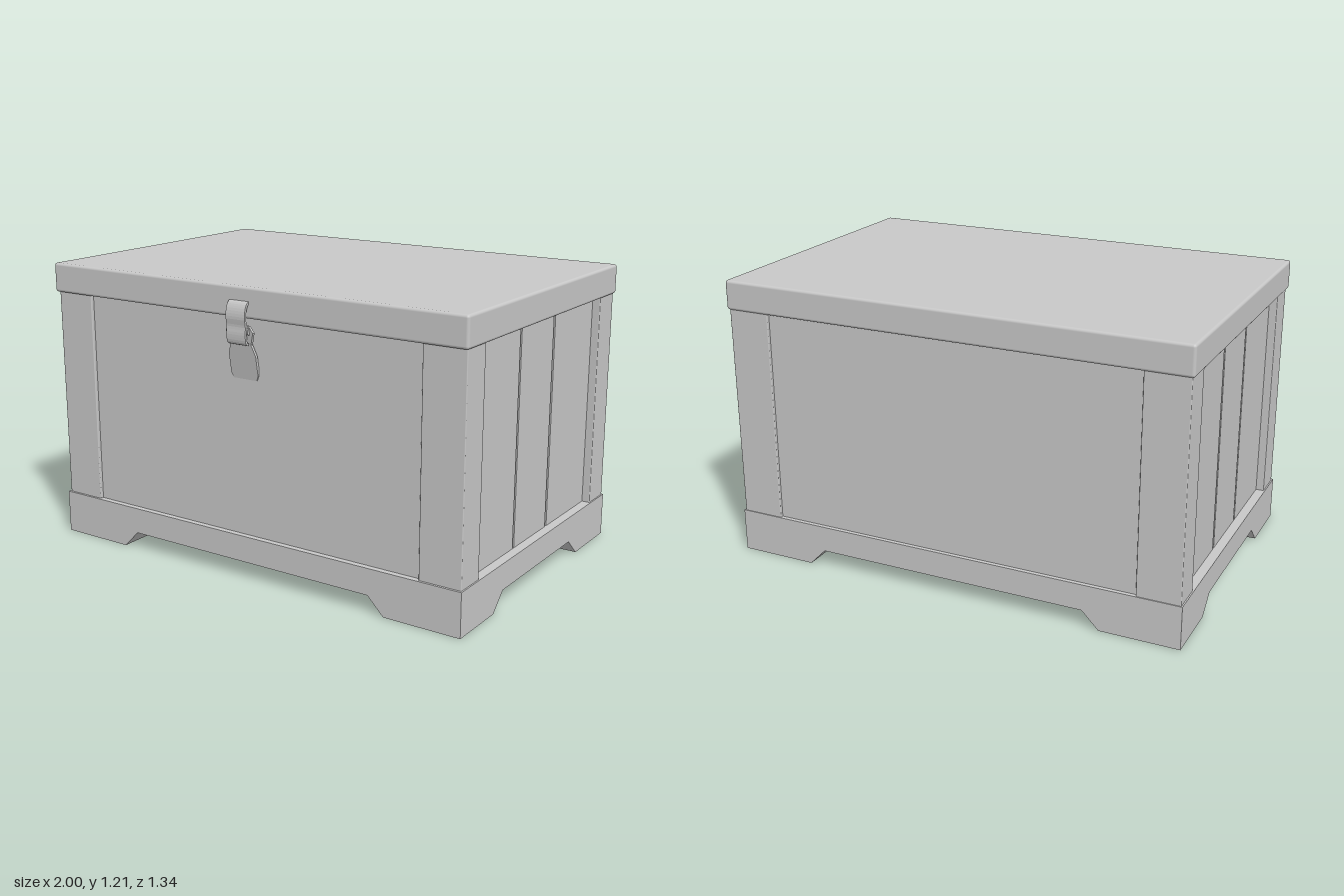
import * as THREE from 'three';
import { RoundedBoxGeometry } from 'three/addons/geometries/RoundedBoxGeometry.js';

export function createModel() {
  const chest = new THREE.Group();
  chest.name = 'chest';
  const grey = new THREE.MeshStandardMaterial({ color: 0xc8c8c8 });
  grey.name = 'plain grey';

  const add = (name, geometry) => {
    const mesh = new THREE.Mesh(geometry, grey);
    mesh.name = name;
    chest.add(mesh);
    return mesh;
  };
  // Box given by its extents on each axis
  const block = (name, [x0, x1], [y0, y1], [z0, z1], bevel = 0) => {
    const s = [x1 - x0, y1 - y0, z1 - z0];
    const g = bevel ? new RoundedBoxGeometry(...s, 2, bevel) : new THREE.BoxGeometry(...s);
    g.translate((x0 + x1) / 2, (y0 + y1) / 2, (z0 + z1) / 2);
    return add(name, g);
  };

  const baseTop = 0.184, footTop = 0.073, lidBottom = 1.088;
  const wall = [baseTop - 0.02, lidBottom + 0.02];

  // Lid and plinth
  block('lid', [-1, 1], [lidBottom, 1.213], [-0.672, 0.643], 0.012);
  block('plinth', [-0.996, 0.996], [footTop, baseTop], [-0.668, 0.636]);

  // Feet, with the two inner sides sloping outwards to the floor
  const foot = (sx, z0, z1, slope) => {
    const g = new THREE.BoxGeometry(0.406, footTop, Math.abs(z1 - z0));
    g.translate(sx * 0.793, footTop / 2, (z0 + z1) / 2);
    const p = g.attributes.position;
    for (let i = 0; i < p.count; i++) {
      if (p.getY(i) > 0.01) continue;
      if (Math.abs(p.getX(i)) < 0.7) p.setX(i, sx * 0.662);
      if (Math.abs(p.getZ(i)) < 0.4) p.setZ(i, p.getZ(i) + slope);
    }
    g.computeVertexNormals();
    add('foot', g);
  };
  for (const sx of [-1, 1]) {
    foot(sx, 0.298, 0.636, 0.075);
    foot(sx, -0.312, -0.668, -0.08);
  }

  // Recessed front and back panels are the faces of the inner box
  block('innerBox', [-0.942, 0.942], wall, [-0.65, 0.611]);

  for (const sx of [-1, 1]) {
    const span = (a, b) => (sx > 0 ? [a, b] : [-b, -a]);
    // Corner posts
    block('frontPost', span(0.808, 0.99), wall, [0.491, 0.626], 0.004);
    block('backPost', span(0.808, 0.99), wall, [-0.664, -0.529], 0.004);
    // Upright side planks with narrow gaps between
    for (const z of [[0.146, 0.5], [-0.15, 0.134], [-0.54, -0.164]])
      block('sidePlank', span(0.9, 0.956), wall, z);
  }

  // Catch plate: waisted outline, leaning out towards its top
  const half = [[0.057, 0.838], [0.066, 0.86], [0.066, 0.94], [0.05, 0.985], [0.066, 1.035], [0.05, 1.062]];
  const outline = [...half, ...half.map(([x, y]) => [-x, y]).reverse()];
  const plate = new THREE.ExtrudeGeometry(
    new THREE.Shape(outline.map(([x, y]) => new THREE.Vector2(x, y))),
    { depth: 0.012, bevelEnabled: false });
  const p = plate.attributes.position;
  for (let i = 0; i < p.count; i++) p.setZ(i, p.getZ(i) + 0.602 + (p.getY(i) - 0.838) * 0.17);
  plate.computeVertexNormals();
  add('catchPlate', plate);

  // Hasp: a bent strap of even thickness, drawn from the side as (z, y)
  const strap = new THREE.CatmullRomCurve3([
    [0.632, 1.152], [0.648, 1.15], [0.661, 1.13], [0.667, 1.095],
    [0.662, 1.06], [0.664, 1.025], [0.659, 0.994], [0.648, 0.988],
  ].map(([z, y]) => new THREE.Vector3(z, y, 0)));
  const outer = [], inner = [];
  for (let i = 0; i <= 24; i++) {
    const c = strap.getPoint(i / 24), t = strap.getTangent(i / 24);
    outer.push(new THREE.Vector2(c.x - t.y * 0.005, c.y + t.x * 0.005));
    inner.unshift(new THREE.Vector2(c.x + t.y * 0.005, c.y - t.x * 0.005));
  }
  const hasp = new THREE.ExtrudeGeometry(new THREE.Shape([...outer, ...inner]),
    { depth: 0.092, bevelEnabled: false });
  hasp.rotateY(-Math.PI / 2).translate(0.046, 0, 0);
  add('hasp', hasp);

  // Pin on which the hasp closes
  const pin = new THREE.CylinderGeometry(0.014, 0.014, 0.1, 16).rotateZ(Math.PI / 2);
  pin.translate(0, 1.04, 0.646);
  add('haspPin', pin);

  return chest;
}
